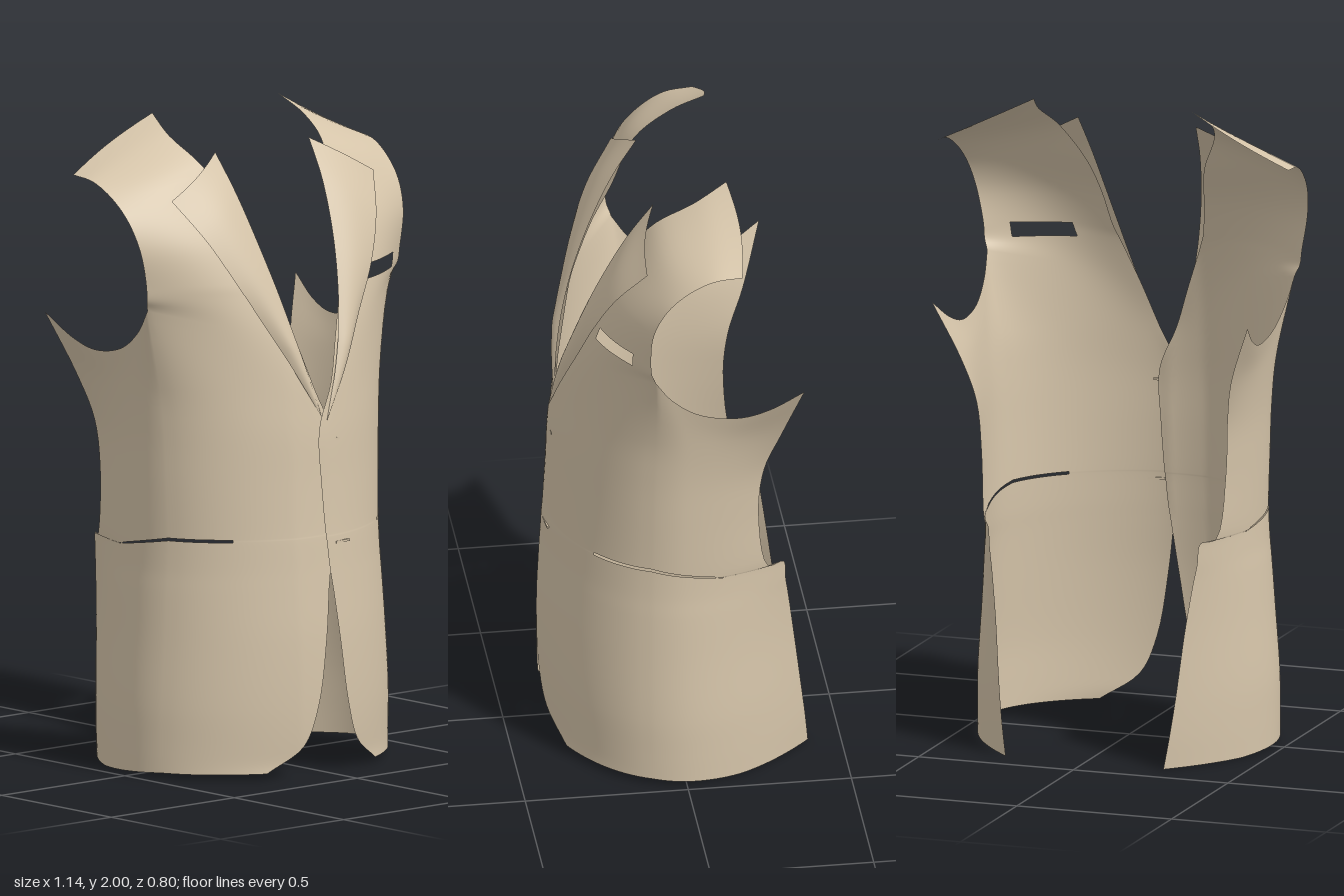
import * as THREE from 'three';

const cloth = new THREE.MeshStandardMaterial({ color: 0xd6c5aa, side: THREE.DoubleSide });
cloth.name = 'tan cloth';

const spline = (pts) => new THREE.CatmullRomCurve3(pts.map((p) => new THREE.Vector3(...p)));

// body levels: height, front edge x, depth, half width, back edge x and z, drop towards the back
const LEVELS = [
  [0.02, 0.22, 0.4, 0.47, 0.255, -0.4, 0.017],
  [0.1, 0.105, 0.4, 0.47, 0.27, -0.39, 0],
  [0.22, 0.055, 0.405, 0.468, 0.285, -0.375, 0],
  [0.42, 0.02, 0.402, 0.453, 0.305, -0.35, 0],
  [0.57, 0, 0.392, 0.442, 0.325, -0.33, 0],
  [0.64, -0.01, 0.387, 0.436, 0.335, -0.321, 0.01],
  [0.732, -0.018, 0.381, 0.432, 0.342, -0.314, 0.038],
  [0.74, -0.019, 0.38, 0.432, 0.375, -0.262, 0.038],
  [0.9, -0.028, 0.37, 0.438, 0.395, -0.23, 0],
  [1.06, -0.03, 0.362, 0.445, 0.405, -0.245, 0],
  [1.2, 0.03, 0.348, 0.46, 0.435, -0.295, 0],
];
// chest and shoulder: neck edge, armhole edge and forward bulge between them
const NECK = [[0.075, 1.33, 0.315], [0.13, 1.478, 0.272], [0.145, 1.52, 0.255], [0.165, 1.64, 0.205],
  [0.19, 1.75, 0.14], [0.25, 1.87, 0.065], [0.275, 1.945, -0.05], [0.255, 2, -0.15]];
const ARM = [[0.497, 1.45, 0.1], [0.51, 1.485, 0.112], [0.515, 1.53, 0.116], [0.535, 1.64, 0.11],
  [0.55, 1.73, 0.07], [0.56, 1.795, 0.005], [0.568, 1.835, -0.07], [0.57, 1.845, -0.157]];
const BULGE = [0.043, 0.038, 0.036, 0.028, 0.023, 0.015, 0, -0.018];
// underarm curve from the armhole front to the back tip
const underarm = spline([ARM[0], [0.487, 1.375, 0.045], [0.48, 1.315, -0.04], [0.48, 1.295, -0.16], [0.49, 1.322, -0.25], [0.51, 1.39, -0.355]]);

// s runs 0..1 from front edge to the armhole line, then 1..2 round the side to the back edge
function bodyPoint([y, frontX, depth, width, backX, backZ, drop], s) {
  const sideX = 0.955 * width;
  const arc = (x) => depth * Math.sqrt(1 - Math.abs(x / width) ** 1.6);
  if (s <= 1) {
    const x = frontX + (sideX - frontX) * s;
    return [x, y, arc(x)];
  }
  const z = arc(sideX) + (backZ - arc(sideX)) * (s - 1);
  const x = z > 0
    ? width * (1 - (z / depth) ** 2) ** (1 / 1.6)
    : width - (width - backX) * (z / backZ) ** 1.9;
  return [x, y - drop * Math.min(1, (s - 1) / 0.55), z];
}

function chestPoint(i, s) {
  const p = NECK[i].map((v, k) => v + (ARM[i][k] - v) * s);
  p[2] += BULGE[i] * Math.sin(Math.PI * s);
  return p;
}

// the right side is mirrored and tucked slightly behind the left at the closure
function place(p, side) {
  if (side > 0) return [p.x, p.y, p.z];
  return [-p.x, p.y, p.z - 0.02 * Math.max(0, 1 - Math.abs(p.x) / 0.12)];
}

// skin a set of columns; keep(col, row) decides which cells exist
function skin(name, columns, side, keep = () => true) {
  const pos = [], index = [], start = [];
  columns.forEach((col) => {
    start.push(pos.length / 3);
    col.forEach((p) => pos.push(...place(p, side)));
  });
  for (let c = 0; c + 1 < columns.length; c++) {
    const rows = Math.min(columns[c].length, columns[c + 1].length) - 1;
    for (let r = 0; r < rows; r++) {
      if (!keep(c, r)) continue;
      const a = start[c] + r, b = start[c + 1] + r;
      if (side > 0) index.push(a, b, b + 1, a, b + 1, a + 1);
      else index.push(a, b + 1, b, a, a + 1, b + 1);
    }
  }
  const g = new THREE.BufferGeometry();
  g.setAttribute('position', new THREE.Float32BufferAttribute(pos, 3));
  g.setIndex(index);
  g.computeVertexNormals();
  const mesh = new THREE.Mesh(g, cloth);
  mesh.name = name;
  return mesh;
}

// jacket front with hip pocket slit, and a breast pocket opening on the left
function bodyPanel(side) {
  const HALF = 32, STEP = 5;
  const columns = [];
  for (let c = 0; c <= 2 * HALF; c++) {
    const s = c / HALF;
    const pts = LEVELS.map((level) => bodyPoint(level, s));
    if (s <= 1) NECK.forEach((_, i) => pts.push(chestPoint(i, s)));
    else pts.push(underarm.getPoint(s - 1).toArray());
    columns.push(spline(pts).getPoints((pts.length - 1) * STEP));
  }
  const keep = (c, r) => {
    const row = Math.floor(r / STEP);
    const hip = row === 6 && c > 22 && c < 49;
    const breast = side > 0 && row === 12 && c >= 11 && c < 26;
    return !hip && !breast;
  };
  return skin(side > 0 ? 'leftFront' : 'rightFront', columns, side, keep);
}

// folded lapel lying just above the chest
const foldLine = spline([[0, 1.09, 0.362], [0.055, 1.25, 0.34], [0.1, 1.4, 0.303], [0.145, 1.6, 0.232], [0.175, 1.78, 0.145], [0.19, 1.9, 0.065]]);
const lapelEdge = spline([[0, 1.09, 0.364], [0.1, 1.24, 0.335], [0.19, 1.39, 0.294], [0.275, 1.53, 0.256], [0.345, 1.66, 0.2], [0.41, 1.78, 0.113]]);

function lapel(side) {
  const columns = [];
  for (let c = 0; c <= 12; c++) {
    const u = c / 12, col = [];
    for (let r = 0; r <= 40; r++) {
      const p = foldLine.getPoint(r / 40).lerp(lapelEdge.getPoint(r / 40), u);
      p.z += 0.016 * Math.sin(Math.PI * u) * Math.min(1, r / 12);
      col.push(p);
    }
    columns.push(col);
  }
  return skin(side > 0 ? 'leftLapel' : 'rightLapel', columns, side);
}

export function createModel() {
  const model = new THREE.Group();
  model.name = 'jacketFront';
  for (const side of [1, -1]) model.add(bodyPanel(side), lapel(side));
  // stitched buttonholes
  for (const [x, y, z, w] of [[0.035, 1.028, 0.358, 0.035], [0.05, 0.713, 0.376, 0.06]]) {
    const hole = new THREE.Mesh(new THREE.BoxGeometry(w, 0.007, 0.006), cloth);
    hole.position.set(x, y, z);
    hole.rotation.y = 0.1;
    hole.name = 'buttonhole';
    model.add(hole);
  }
  return model;
}
